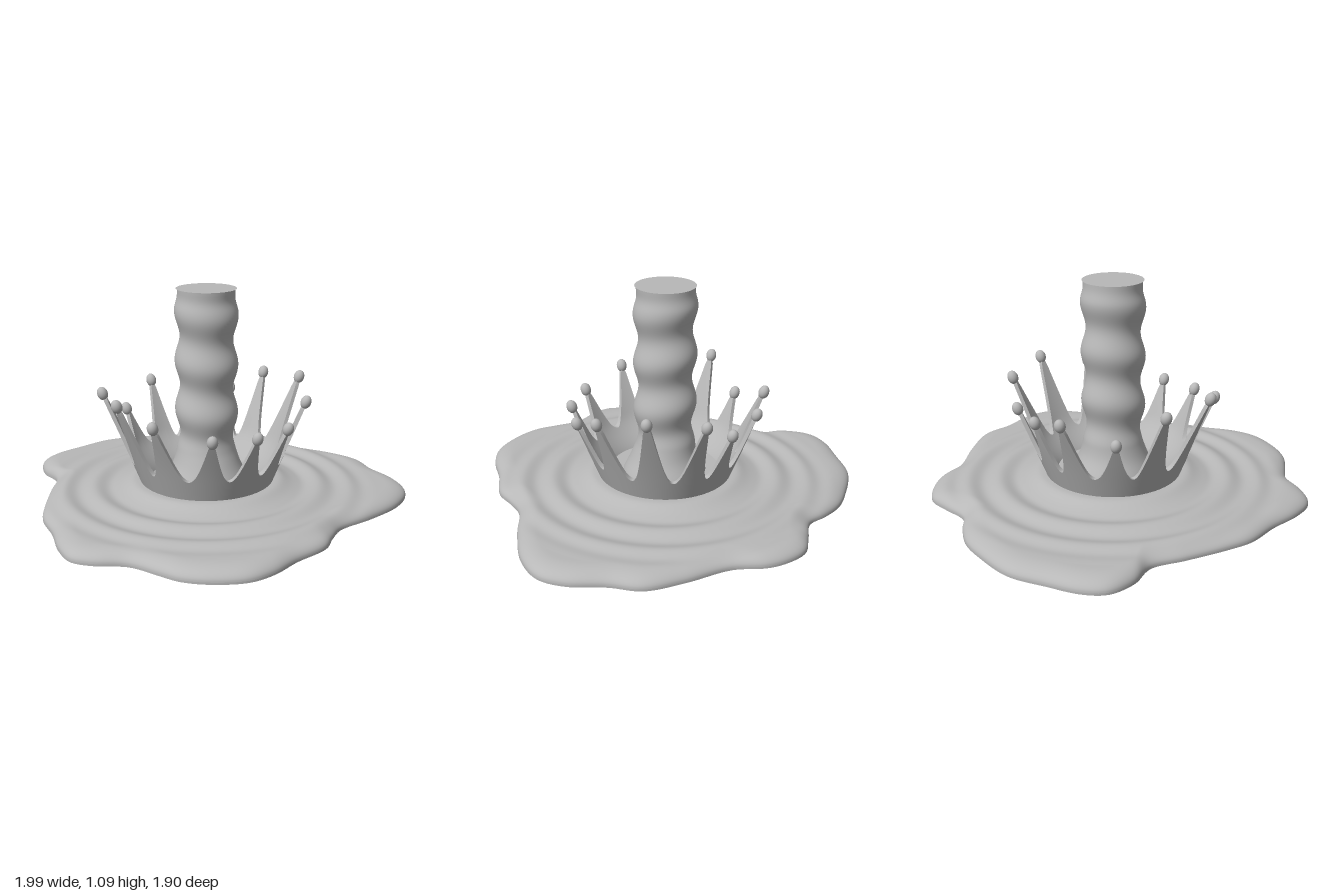
import * as THREE from 'three';

const CX = -0.045, CZ = -0.048; // axis of the splash
const TAU = Math.PI * 2;

// Pool outline, x and z
const OUTLINE = [
  [.99, -.115], [.955, -.25], [.85, -.4], [.78, -.54], [.62, -.65], [.41, -.76], [.3, -.88], [.2, -.935],
  [.09, -.955], [-.02, -.91], [-.15, -.85], [-.26, -.875], [-.39, -.885], [-.53, -.85], [-.72, -.77],
  [-.85, -.64], [-.96, -.515], [-1, -.41], [-.96, -.28], [-.87, -.17], [-.86, 0], [-.84, .22], [-.815, .35],
  [-.73, .51], [-.665, .67], [-.585, .78], [-.48, .81], [-.32, .81], [-.18, .88], [-.08, .93], [.055, .945],
  [.215, .915], [.32, .835], [.415, .71], [.55, .565], [.585, .455], [.63, .35], [.78, .215], [.93, .045],
];

// Crown droplets: x, y, z
const TIPS = [
  [.457, .525, -.02], [.425, .585, -.29], [.233, .555, -.49], [.05, .455, -.515], [-.2, .47, -.495],
  [-.38, .515, -.425], [-.48, .42, -.19], [-.565, .56, .02], [-.445, .575, .295], [-.26, .505, .405],
  [.02, .45, .425], [.227, .445, .34], [.37, .445, .18],
];

// Surface closed in u and open in v; it faces du x dv
function grid(nu, nv, point) {
  const pos = [], index = [];
  for (let j = 0; j <= nv; j++) for (let i = 0; i < nu; i++) pos.push(...point(i, j / nv));
  for (let j = 0; j < nv; j++) for (let i = 0; i < nu; i++) {
    const a = j * nu + i, b = j * nu + (i + 1) % nu;
    index.push(a, b, a + nu, b, b + nu, a + nu);
  }
  const g = new THREE.BufferGeometry();
  g.setAttribute('position', new THREE.Float32BufferAttribute(pos, 3));
  g.setIndex(index);
  g.computeVertexNormals();
  return g;
}

const polar = (r, a, y) => [CX + r * Math.cos(a), y, CZ + r * Math.sin(a)];
const smooth = THREE.MathUtils.smoothstep;

export function createModel() {
  const group = new THREE.Group();
  const liquid = new THREE.MeshStandardMaterial({ color: 0xb8b8b8 });
  liquid.name = 'liquid grey';
  const add = (name, geometry, parent = group) => {
    const m = new THREE.Mesh(geometry, liquid);
    m.name = name;
    parent.add(m);
    return m;
  };

  // Pool: rippled top with a rounded, wandering edge
  const N = 240;
  const curve = new THREE.CatmullRomCurve3(OUTLINE.map(([x, z]) => new THREE.Vector3(x, 0, z)), true);
  const rim = curve.getSpacedPoints(N).slice(0, N).reverse(); // turn so that the angle grows
  const poolHeight = (r, edge) => {
    const ripple = 0.009 * Math.cos(TAU * (r - 0.58) / 0.16) * smooth(r, 0.4, 0.5) * (1 - smooth(r, 0.72, 0.9));
    const h = 0.064 + 0.012 * (1 - smooth(r, 0.5, 0.8)) + 0.032 * (1 - smooth(r, 0.37, 0.46)) + ripple;
    const k = 1 - Math.min(1, edge / 0.11);
    return 0.01 + (h - 0.01) * Math.sqrt(1 - k * k);
  };
  const pool = new THREE.Group();
  pool.name = 'pool';
  group.add(pool);
  const across = (i, s, y) => [CX + (rim[i].x - CX) * s, y, CZ + (rim[i].z - CZ) * s];
  add('poolTop', grid(N, 80, (i, v) => {
    const s = 1 - (1 - v) ** 1.6;
    const R = Math.hypot(rim[i].x - CX, rim[i].z - CZ);
    return across(i, s, poolHeight(R * s, R * (1 - s)));
  }), pool);
  add('poolEdge', grid(N, 1, (i, v) => across(i, 1, 0.01 * (1 - v))), pool);
  add('poolUnderside', grid(N, 1, (i, v) => across(i, 1 - v, 0)), pool);

  // Falling column: wavy, flared where it meets the pool
  const TOP = 1.09, M = 64;
  add('column', grid(M, 90, (i, v) => {
    const a = i / M * TAU, y = TOP - v * (TOP - 0.09);
    const wave = Math.cos(TAU * (y - 0.72) / 0.25 + 0.6 * Math.sin(a + 0.6));
    const fade = (1 - 0.8 * smooth(y, 0.99, TOP)) * smooth(y, 0.12, 0.35);
    const flare = 0.075 * (1 - smooth(y, 0.06, 0.27));
    return polar(0.147 + 0.013 * wave * fade + flare, a, y);
  }));
  const cap = add('columnTop', new THREE.CircleGeometry(0.151, M).rotateX(-Math.PI / 2));
  cap.position.set(CX, TOP, CZ);

  // Crown: flared wall whose rim climbs to a spike at each droplet
  const tips = TIPS.map(([x, y, z]) => ({ x, y, z, r: Math.hypot(x - CX, z - CZ), a: Math.atan2(z - CZ, x - CX) }))
    .sort((p, q) => p.a - q.a);
  const VALLEY = 0.215, BASE = 0.085, STEPS = 28;
  const wall = [];
  tips.forEach((p, k) => {
    const q = tips[(k + 1) % tips.length];
    const gap = (q.a - p.a + TAU) % TAU;
    for (let s = 0; s < STEPS; s++) {
      const u = s / STEPS, near = u < 0.5 ? p : q;
      const d = Math.max(0, (Math.min(u, 1 - u) * 2 - 0.1) / 0.9);
      wall.push({ a: p.a + gap * u, h: VALLEY + (near.y - 0.015 - VALLEY) * (1 - d) ** 2.1, tip: near });
    }
  });
  const outerR = (w, y) => {
    const slope = (w.tip.r + 0.008 - 0.35) / (w.tip.y - 0.12);
    return 0.35 + (y - 0.12) * THREE.MathUtils.lerp(0.39, slope, smooth(y, 0.22, w.tip.y));
  };
  const innerR = (w, y) => outerR(w, y) - 0.02 - 0.045 * (1 - smooth(y, 0.08, 0.26));
  const crown = new THREE.Group();
  crown.name = 'crown';
  group.add(crown);
  const yAt = (w, v) => BASE + (w.h - BASE) * v;
  const W = wall.length;
  add('crownOutside', grid(W, 16, (i, v) => {
    const y = yAt(wall[i], 1 - v);
    return polar(outerR(wall[i], y), wall[i].a, y);
  }), crown);
  add('crownInside', grid(W, 16, (i, v) => {
    const y = yAt(wall[i], v);
    return polar(innerR(wall[i], y), wall[i].a, y);
  }), crown);
  add('crownRim', grid(W, 1, (i, v) => {
    const w = wall[i];
    return polar(THREE.MathUtils.lerp(innerR(w, w.h), outerR(w, w.h), v), w.a, w.h);
  }), crown);

  // Droplets, stretched along the lean of their spikes
  const ball = new THREE.SphereGeometry(0.027, 20, 14).scale(1, 1.3, 1);
  const up = new THREE.Vector3(0, 1, 0);
  for (const t of tips) {
    const drop = add('droplet', ball, crown);
    drop.position.set(t.x, t.y, t.z);
    drop.quaternion.setFromUnitVectors(up, new THREE.Vector3(0.36 * Math.cos(t.a), 1, 0.36 * Math.sin(t.a)).normalize());
  }
  return group;
}
